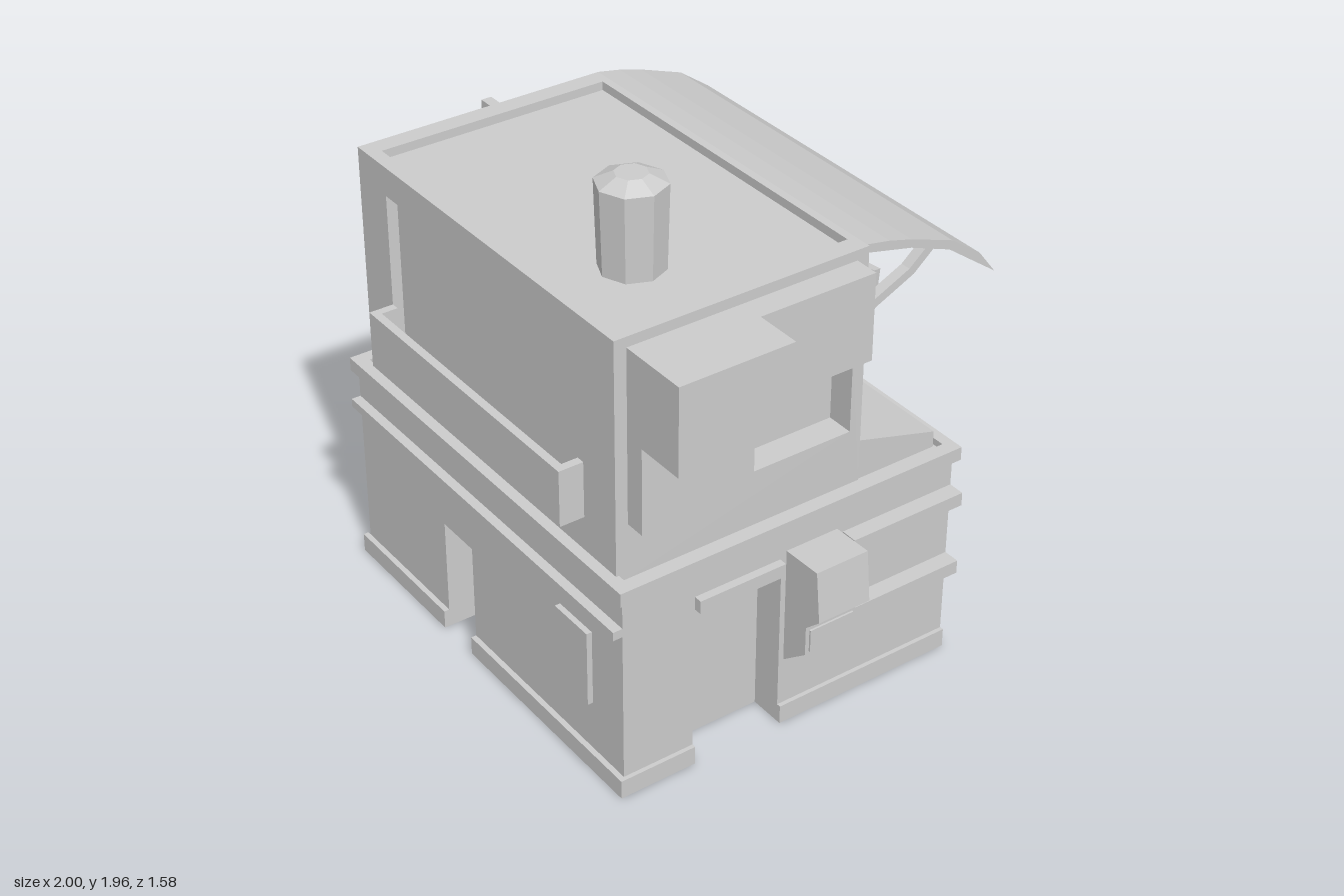
import * as THREE from 'three';

const mat = new THREE.MeshStandardMaterial({ color: 0xcccccc, flatShading: true, side: THREE.DoubleSide });

export function createModel() {
  const model = new THREE.Group();

  const add = (name, geometry, parent = model) => {
    const mesh = new THREE.Mesh(geometry, mat);
    mesh.name = name;
    parent.add(mesh);
    return mesh;
  };
  // Box from its extents along each axis
  const box = (name, x0, x1, y0, y1, z0, z1, parent) => {
    const m = add(name, new THREE.BoxGeometry(x1 - x0, y1 - y0, z1 - z0), parent);
    m.position.set((x0 + x1) / 2, (y0 + y1) / 2, (z0 + z1) / 2);
    return m;
  };
  const extrude = (name, shape, depth) =>
    add(name, new THREE.ExtrudeGeometry(shape, { depth, bevelEnabled: false, curveSegments: 6 }));
  const polygon = (pts) => new THREE.Shape(pts.map(([x, y]) => new THREE.Vector2(x, y)));
  const rect = (x0, x1, y0, y1) => polygon([[x0, y0], [x1, y0], [x1, y1], [x0, y1]]);
  const withHole = (outer, hole) => {
    outer.holes.push(hole);
    return outer;
  };
  // Wall outline with openings that reach the ground; rise > 0 gives an arch
  const notchedWall = (x0, x1, h, notches) => {
    const s = new THREE.Shape();
    s.moveTo(x0, 0);
    for (const { a, b, top, rise = 0 } of notches) {
      s.lineTo(a, 0);
      s.lineTo(a, top - rise);
      if (rise) s.absellipse((a + b) / 2, top - rise, (b - a) / 2, rise, Math.PI, 0, true);
      else s.lineTo(b, top);
      s.lineTo(b, 0);
    }
    s.lineTo(x1, 0);
    s.lineTo(x1, h);
    s.lineTo(x0, h);
    return s;
  };
  // Flat ring lying level, between heights y0 and y1
  const rim = (name, x0, x1, z0, z1, hole, y0, y1) => {
    const m = extrude(name, withHole(rect(x0, x1, -z1, -z0), rect(hole[0], hole[1], -hole[3], -hole[2])), y1 - y0);
    m.rotation.x = -Math.PI / 2;
    m.position.y = y0;
  };
  // Profile in (z, y) swept along x, centred on x
  const sweepX = (name, pts, width, x = 0) => {
    const m = extrude(name, polygon(pts.map(([z, y]) => [-z, y])), width);
    m.rotation.y = Math.PI / 2;
    m.position.x = x - width / 2;
    return m;
  };

  // Lower storey walls, hollow and open underneath
  extrude('lowerFrontWall', notchedWall(-0.8, 0.8, 0.77, [{ a: -0.26, b: -0.085, top: 0.435 }]), 0.03).position.z = 0.69;
  const sideWall = extrude('lowerSideWall', notchedWall(-0.69, 0.6, 0.77, [{ a: -0.45, b: -0.105, top: 0.62 }]), 0.03);
  sideWall.rotation.y = Math.PI / 2;
  sideWall.position.x = 0.77;
  box('lowerPlainWall', -0.8, -0.77, 0, 0.77, -0.6, 0.69);
  const arches = [-0.54, -0.18, 0.18, 0.54].map((c) => ({ a: c - 0.09, b: c + 0.09, top: 0.68, rise: 0.07 }));
  extrude('arcade', notchedWall(-0.77, 0.77, 0.77, arches), 0.15).position.z = -0.6;

  // Recessed doorways
  box('frontDoor', -0.28, -0.065, 0, 0.455, 0.6, 0.61);
  box('frontDoorHead', -0.28, -0.065, 0.435, 0.455, 0.61, 0.69);
  for (const x of [-0.28, -0.085]) box('frontDoorJamb', x, x + 0.02, 0, 0.435, 0.61, 0.69);
  box('sideDoor', 0.67, 0.68, 0, 0.64, 0.085, 0.47);
  box('sideDoorHead', 0.68, 0.77, 0.62, 0.64, 0.085, 0.47);
  for (const z of [0.085, 0.45]) box('sideDoorJamb', 0.68, 0.77, 0, 0.62, z, z + 0.02);

  // Plinth, bands and lintel
  box('plinth', -0.815, -0.26, 0, 0.07, 0.72, 0.74);
  box('plinth', -0.085, 0.815, 0, 0.07, 0.72, 0.74);
  box('plinth', 0.8, 0.815, 0, 0.07, 0.45, 0.72);
  box('plinth', 0.8, 0.815, 0, 0.07, -0.6, 0.105);
  box('frontBand', -0.8, 0.8, 0.635, 0.667, 0.72, 0.755);
  box('doorLintel', 0.8, 0.83, 0.618, 0.667, 0.11, 0.445);
  for (const y of [0.34, 0.618]) box('sideRail', 0.8, 0.86, y, y + 0.05, -0.6, -0.145);

  // Lower windows
  box('frontShutter', 0.45, 0.63, 0.26, 0.545, 0.72, 0.74);
  const frame = extrude('sideWindowFrame', withHole(rect(-0.1, 0.1, 0.39, 0.55), rect(-0.07, 0.07, 0.415, 0.525)), 0.025);
  frame.rotation.y = -Math.PI / 2;
  frame.position.set(-0.8, 0, -0.02);

  // Wall-mounted hood beside the door
  const hood = [[0.8, 0.69], [0.955, 0.695], [0.975, 0.51], [0.91, 0.45], [0.91, 0.34], [0.8, 0.25]];
  extrude('wallHood', polygon(hood.reverse()), 0.205).position.z = -0.12;
  box('hoodVent', 0.91, 0.917, 0.35, 0.435, -0.105, 0.07);

  // Drainpipe with an elbow into the cornice
  const pipe = add('drainpipe', new THREE.CylinderGeometry(0.022, 0.022, 0.83, 8));
  pipe.position.set(-0.833, 0.415, 0.58);
  const elbow = add('drainpipeElbow', new THREE.CylinderGeometry(0.024, 0.028, 0.09, 8));
  elbow.rotation.z = Math.PI / 2;
  elbow.position.set(-0.815, 0.825, 0.58);

  // Cornice and terrace floor
  box('terraceFloor', -0.82, 0.82, 0.77, 0.795, -0.62, 0.74);
  rim('terraceRim', -0.82, 0.82, -0.62, 0.74, [-0.77, 0.77, -0.58, 0.69], 0.795, 0.82);

  // Upper storey: core with front and side skins that leave recesses
  box('upperCore', -0.73, 0.64, 0.795, 1.635, -0.25, 0.66);
  extrude('upperFrontWall', withHole(rect(-0.73, 0.74, 0.795, 1.635), rect(-0.56, 0.54, 1.0, 1.56)), 0.04).position.z = 0.66;
  const skin = extrude('upperSideWall', withHole(rect(-0.66, 0.25, 0.795, 1.635), rect(-0.235, 0.205, 1.0, 1.31)), 0.1);
  skin.rotation.y = Math.PI / 2;
  skin.position.x = 0.64;
  rim('parapet', -0.73, 0.74, -0.25, 0.7, [-0.66, 0.67, -0.22, 0.65], 1.635, 1.667);

  // Side bays stepped around the niche
  box('upperBay', 0.74, 1.0, 1.315, 1.63, 0.235, 0.655);
  box('lowerBay', 0.74, 0.815, 1.0, 1.315, 0.235, 0.655);
  box('rearBay', 0.74, 0.83, 1.315, 1.63, -0.205, 0.235);

  // Planter under the front window
  box('planterFloor', -0.56, 0.57, 0.945, 0.975, 0.7, 0.79);
  box('planterFront', -0.56, 0.57, 0.975, 1.15, 0.76, 0.79);
  for (const x of [-0.56, 0.54]) box('planterEnd', x, x + 0.03, 0.975, 1.15, 0.7, 0.76);

  box('signBoard', -1, -0.73, 1.07, 1.54, 0.02, 0.06);

  // Chimney
  const cx = 0.375, cz = 0.38;
  add('chimney', new THREE.CylinderGeometry(0.118, 0.11, 0.3, 8)).position.set(cx, 1.78, cz);
  add('chimneyCap', new THREE.CylinderGeometry(0.055, 0.118, 0.03, 8)).position.set(cx, 1.945, cz);

  // Rear canopy, its braces and the sloped apron below
  sweepX('canopy', [[-0.25, 1.667], [-0.34, 1.65], [-0.43, 1.625], [-0.6, 1.565], [-0.72, 1.48], [-0.79, 1.39],
    [-0.7, 1.455], [-0.59, 1.535], [-0.43, 1.595], [-0.25, 1.637]], 1.46);
  for (const x of [-0.55, 0.55]) {
    sweepX('canopyBrace', [[-0.25, 1.295], [-0.42, 1.325], [-0.57, 1.395], [-0.68, 1.49],
      [-0.7, 1.465], [-0.59, 1.37], [-0.43, 1.295], [-0.25, 1.265]], 0.04, x);
  }
  sweepX('apron', [[-0.25, 0.795], [-0.25, 0.945], [-0.57, 0.855], [-0.57, 0.795]], 1.47);

  // Tilted panels on arms from the rear wall
  const panel = (x, y, z, tilt, yaw, wallY) => {
    const p = new THREE.Group();
    p.name = 'rearPanel';
    p.position.set(x, y, z);
    p.rotation.set(tilt, yaw, 0, 'YXZ');
    box('panelBoard', -0.18, 0.18, -0.12, 0.12, -0.015, 0.015, p);
    model.add(p);
    for (const dy of [0, -0.09]) {
      const path = new THREE.LineCurve3(new THREE.Vector3(x, wallY + dy * 1.6, -0.24), new THREE.Vector3(x, y + dy * 0.5, z));
      add('panelArm', new THREE.TubeGeometry(path, 1, 0.022, 4));
    }
  };
  panel(0.22, 1.185, -0.545, -0.12, 0.14, 1.28);
  panel(-0.36, 0.99, -0.5, 0.35, -0.1, 1.11);

  return model;
}
